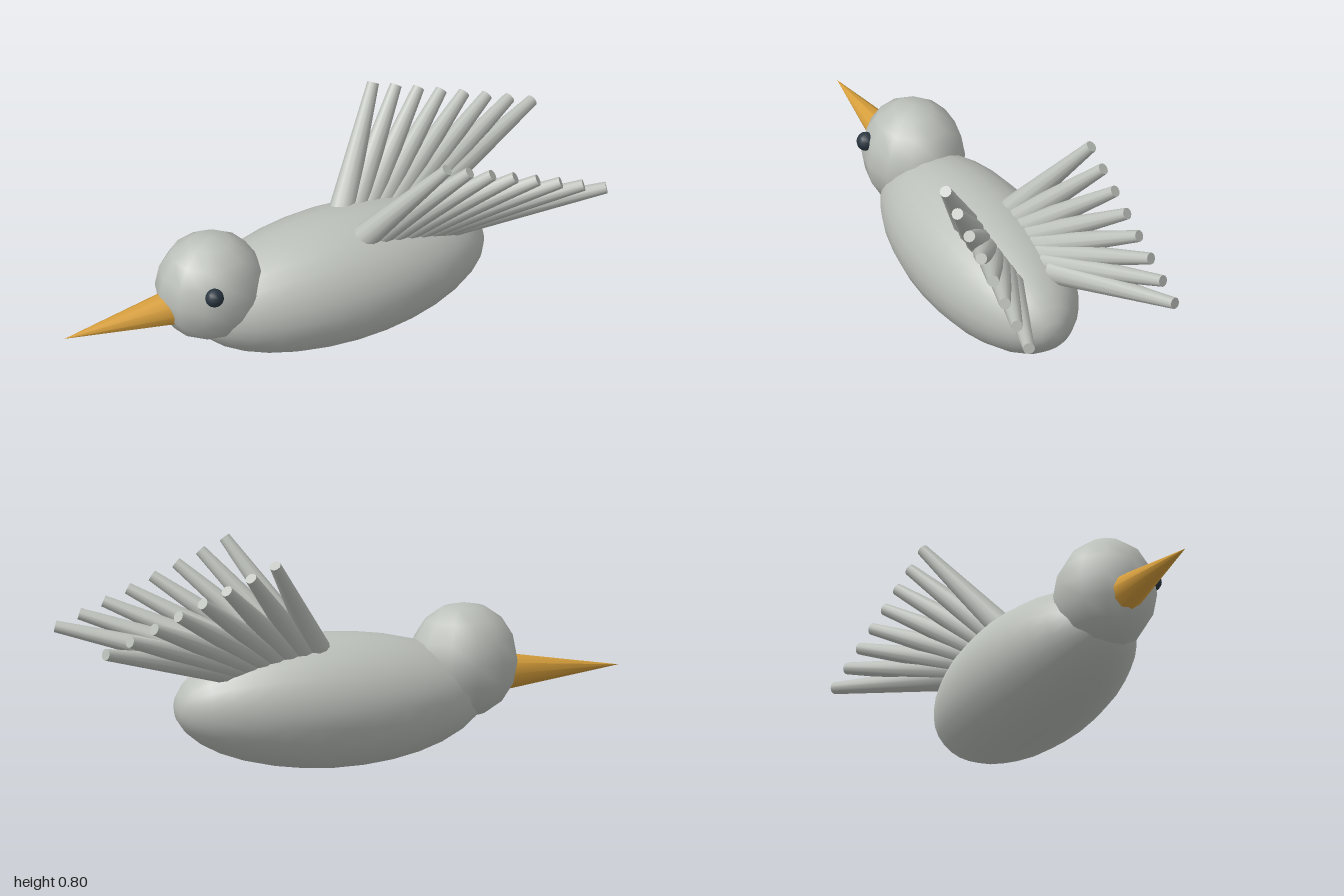
import * as THREE from 'three';

export function createModel() {
  const bird = new THREE.Group();
  bird.name = 'bird';

  const material = (name, color) => {
    const m = new THREE.MeshStandardMaterial({ color });
    m.name = name;
    return m;
  };
  const plumage = material('plumage grey', 0xbcc0ba);
  const horn = material('beak orange', 0xd9a03c);
  const dark = material('eye dark', 0x2a3640);

  const add = (name, geometry, mat, parent = bird) => {
    const mesh = new THREE.Mesh(geometry, mat);
    mesh.name = name;
    parent.add(mesh);
    return mesh;
  };

  // Ellipsoid with its poles along the chosen axis
  const ellipsoid = (name, pos, radii, w, h, mat, lengthwise = false) => {
    const g = new THREE.SphereGeometry(1, w, h);
    if (lengthwise) g.rotateZ(Math.PI / 2);
    const mesh = add(name, g, mat);
    mesh.position.set(...pos);
    mesh.scale.set(...radii);
  };

  // Body, head and the single eye
  ellipsoid('body', [0.07, 0.244, 0], [0.57, 0.241, 0.256], 24, 16, plumage, true);
  ellipsoid('head', [-0.428, 0.36, 0], [0.197, 0.205, 0.179], 12, 8, plumage);
  ellipsoid('eye', [-0.487, 0.423, 0.157], [0.034, 0.034, 0.034], 12, 8, dark);

  // Beak, its base sunk into the head
  const beak = new THREE.ConeGeometry(0.073, 0.47, 10);
  beak.rotateZ(Math.PI / 2);
  add('beak', beak, horn).position.set(-0.765, 0.31, 0);

  // Wings: fans of eight tapered quills
  const up = new THREE.Vector3(0, 1, 0);
  for (const side of [1, -1]) {
    const wing = new THREE.Group();
    wing.name = side > 0 ? 'frontWing' : 'backWing';
    bird.add(wing);
    for (let i = 0; i < 8; i++) {
      const t = i / 7;
      const root = new THREE.Vector3(0.137 + 0.33 * t, 0.435 - 0.05 * t, side * 0.087);
      const tip = new THREE.Vector3(0.363 + 0.627 * t, 0.79 - 0.283 * t, side * 0.291);
      const dir = tip.clone().sub(root);
      const quill = add('feather', new THREE.CylinderGeometry(0.021, 0.048, dir.length(), 12), plumage, wing);
      quill.position.copy(root).add(tip).multiplyScalar(0.5);
      quill.quaternion.setFromUnitVectors(up, dir.normalize());
    }
  }
  return bird;
}
